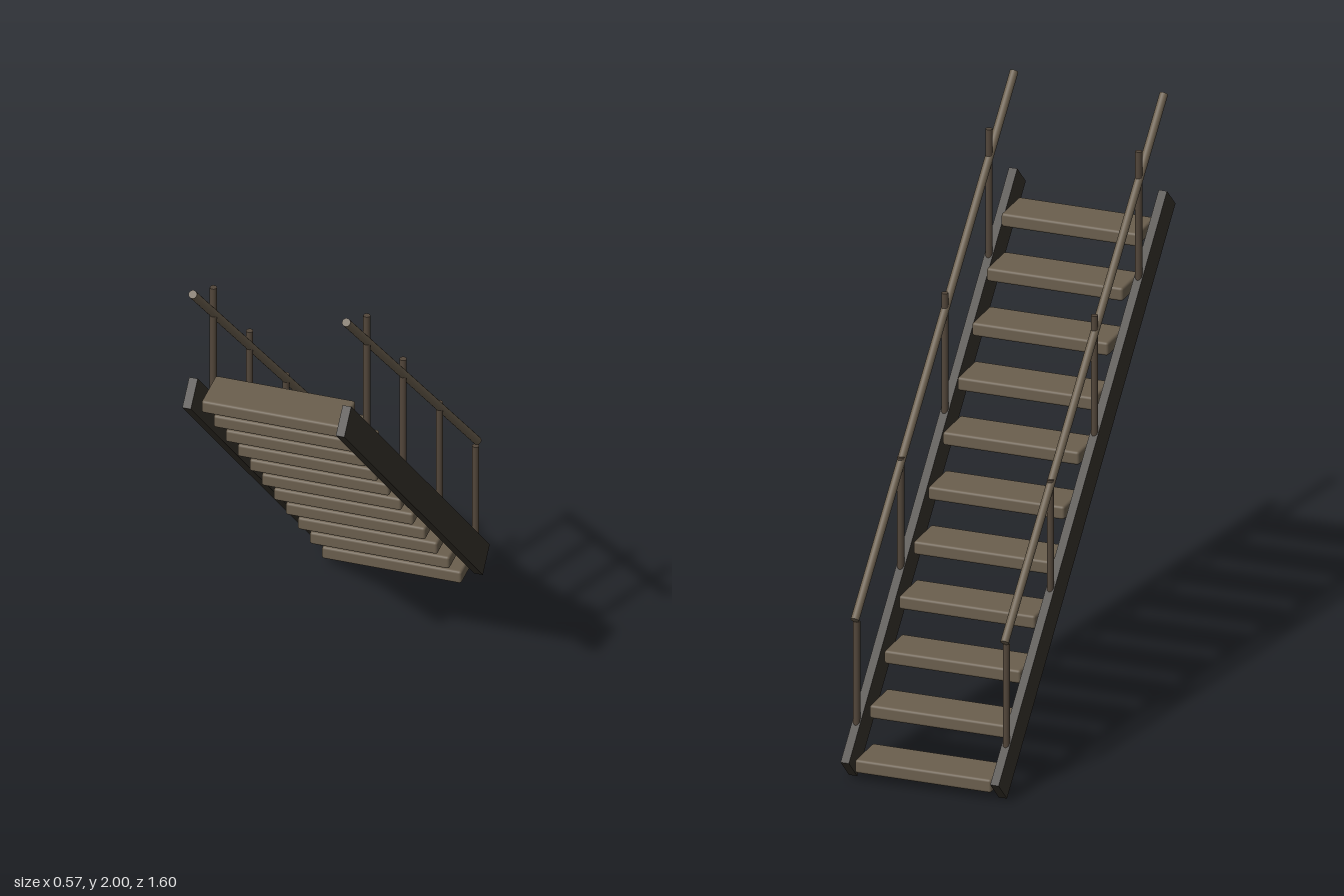
import * as THREE from 'three';
import { RoundedBoxGeometry } from 'three/addons/geometries/RoundedBoxGeometry.js';

const wood = new THREE.MeshStandardMaterial({ color: 0x6b5f4e });
const darkWood = new THREE.MeshStandardMaterial({ color: 0x353029 });
const postWood = new THREE.MeshStandardMaterial({ color: 0x52463a });

const SIDE_X = 0.269;

function addMesh(parent, name, geometry, material, x, y, z) {
  const mesh = new THREE.Mesh(geometry, material);
  mesh.name = name;
  mesh.position.set(x, y, z);
  parent.add(mesh);
  return mesh;
}

// Turns a mesh so that its local +y runs from one (y, z) point to another
function alignTo(mesh, y0, z0, y1, z1) {
  mesh.rotation.x = Math.atan2(z1 - z0, y1 - y0);
}

// One side of the stair: sloping beam, posts and handrail
function createSide(name, x) {
  const side = new THREE.Group();
  side.name = name;

  const [by0, bz0, by1, bz1] = [0.038, -0.758, 1.608, 0.762];
  const beamLength = Math.hypot(by1 - by0, bz1 - bz0);
  const beam = addMesh(side, 'stringer', new THREE.BoxGeometry(0.03, beamLength, 0.106),
    darkWood, x, (by0 + by1) / 2, (bz0 + bz1) / 2);
  alignTo(beam, by0, bz0, by1, bz1);

  const [ry0, rz0, ry1, rz1] = [0.555, -0.705, 1.99, 0.732];
  const railLength = Math.hypot(ry1 - ry0, rz1 - rz0);
  const rail = addMesh(side, 'handrail', new THREE.CylinderGeometry(0.0145, 0.0145, railLength, 20),
    wood, x, (ry0 + ry1) / 2, (rz0 + rz1) / 2);
  alignTo(rail, ry0, rz0, ry1, rz1);

  // Posts rise out of the beam; the upper ones stand above the rail
  const postHeight = 0.48;
  for (let i = 0; i < 4; i++) {
    addMesh(side, 'post', new THREE.CylinderGeometry(0.012, 0.012, postHeight, 16),
      postWood, x, 0.546 + i * 0.441 - postHeight / 2, -0.688 + i * 0.398);
  }
  return side;
}

export function createModel() {
  const stair = new THREE.Group();
  stair.name = 'openStair';

  // Softly rounded treads climbing toward +z
  const treadGeometry = new RoundedBoxGeometry(0.49, 0.048, 0.162, 2, 0.009);
  for (let i = 0; i < 11; i++) {
    addMesh(stair, 'tread', treadGeometry, wood, 0, 0.055 + i * 0.147, -0.686 + i * 0.132);
  }

  stair.add(createSide('leftSide', SIDE_X), createSide('rightSide', -SIDE_X));
  return stair;
}
